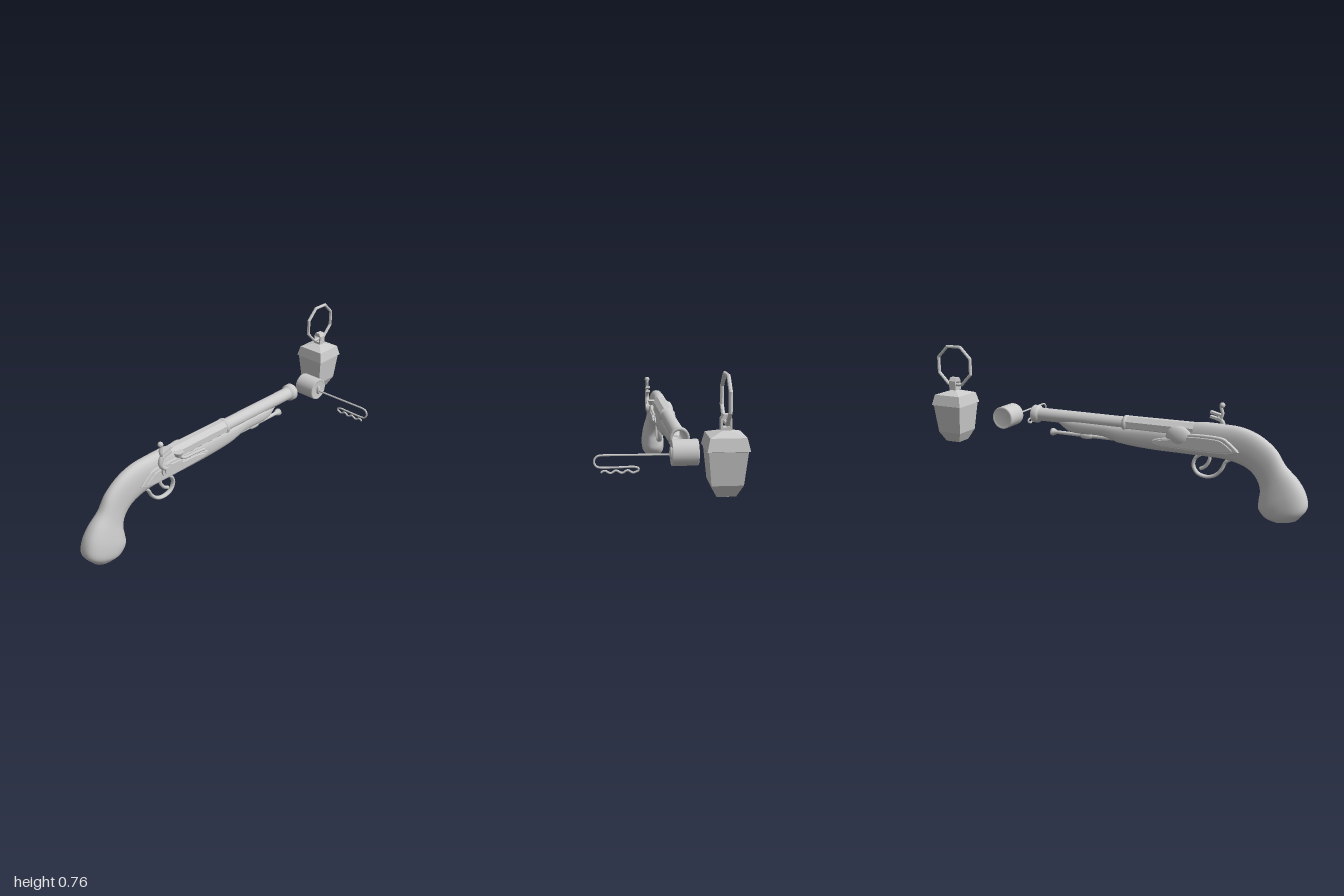
import * as THREE from 'three';

const material = new THREE.MeshStandardMaterial({ color: 0xcccccc, side: THREE.DoubleSide });
const flat = new THREE.MeshStandardMaterial({ color: 0xcccccc, flatShading: true, side: THREE.DoubleSide });

function add(parent, name, geometry, mat = material) {
  const mesh = new THREE.Mesh(geometry, mat);
  mesh.name = name;
  parent.add(mesh);
  return mesh;
}

// Smooth tube through [x, y, z] points
function tube(points, radius, closed = false, segments = 48, sides = 8) {
  const curve = new THREE.CatmullRomCurve3(points.map(p => new THREE.Vector3(...p)), closed);
  return new THREE.TubeGeometry(curve, segments, radius, sides, closed);
}

// Lathe turned to lie along z; profile is [radius, z] pairs
function latheZ(profile, sides) {
  return new THREE.LatheGeometry(profile.map(([r, z]) => new THREE.Vector2(r, z)), sides).rotateX(Math.PI / 2);
}

// Outline in the side plane ([-z, y] points), extruded towards +x
function sidePlate(points, depth, bevel) {
  const shape = new THREE.Shape();
  shape.moveTo(...points[0]);
  shape.splineThru([...points.slice(1), points[0]].map(p => new THREE.Vector2(...p)));
  return new THREE.ExtrudeGeometry(shape, {
    depth, bevelEnabled: true, bevelSize: bevel, bevelThickness: bevel, bevelSegments: 2, curveSegments: 40,
  }).rotateY(Math.PI / 2);
}

// Stock lofted through stations [topZ, topY, bottomZ, bottomY, halfWidth]
function stockGeometry() {
  const stations = [
    [-0.33, 0.385, -0.325, 0.368, 0.018], [-0.26, 0.40, -0.26, 0.33, 0.034],
    [-0.07, 0.40, -0.07, 0.325, 0.038], [0.03, 0.40, 0.03, 0.30, 0.041],
    [0.19, 0.405, 0.19, 0.287, 0.042], [0.37, 0.412, 0.37, 0.285, 0.043],
    [0.43, 0.447, 0.43, 0.284, 0.043], [0.58, 0.452, 0.57, 0.282, 0.041],
    [0.67, 0.445, 0.645, 0.27, 0.040], [0.755, 0.415, 0.71, 0.243, 0.040],
    [0.835, 0.355, 0.75, 0.20, 0.040], [0.885, 0.28, 0.768, 0.15, 0.046],
    [0.945, 0.22, 0.764, 0.10, 0.058], [0.985, 0.155, 0.765, 0.055, 0.067],
    [0.997, 0.085, 0.80, 0.018, 0.066], [0.955, 0.025, 0.845, 0.004, 0.045],
  ];
  const tops = new THREE.CatmullRomCurve3(stations.map(s => new THREE.Vector3(s[4], s[1], s[0])));
  const bottoms = new THREE.CatmullRomCurve3(stations.map(s => new THREE.Vector3(s[4], s[3], s[2])));
  const rings = 75, sides = 28, position = [], index = [];
  const soften = v => Math.sign(v) * Math.abs(v) ** 0.8;
  for (let i = -1; i <= rings + 1; i++) {
    const t = Math.min(Math.max(i / rings, 0), 1);
    const size = i < 0 || i > rings ? 0 : 1;
    const top = tops.getPoint(t), bottom = bottoms.getPoint(t);
    for (let j = 0; j < sides; j++) {
      const a = j / sides * Math.PI * 2;
      const up = 0.5 + 0.5 * size * soften(Math.sin(a));
      position.push(top.x * size * soften(Math.cos(a)),
        bottom.y + (top.y - bottom.y) * up, bottom.z + (top.z - bottom.z) * up);
    }
  }
  for (let i = 0; i < rings + 2; i++) for (let j = 0; j < sides; j++) {
    const a = i * sides + j, b = i * sides + (j + 1) % sides;
    index.push(a, b, b + sides, a, b + sides, a + sides);
  }
  const geometry = new THREE.BufferGeometry();
  geometry.setAttribute('position', new THREE.Float32BufferAttribute(position, 3));
  geometry.setIndex(index);
  geometry.computeVertexNormals();
  return geometry;
}

function createPistol() {
  const pistol = new THREE.Group();
  pistol.name = 'pistol';
  pistol.position.x = -0.09;
  add(pistol, 'stock', stockGeometry());

  // Barrel: hollow round front, ring and octagonal breech
  add(pistol, 'barrel', latheZ([[0.034, 0.07], [0.035, -0.44], [0.04, -0.448], [0.047, -0.455],
    [0.047, -0.48], [0.044, -0.485], [0.034, -0.485], [0.029, -0.46], [0.028, -0.1], [0, -0.1]].reverse(), 32)).position.y = 0.405;
  add(pistol, 'barrelRing', latheZ([[0.034, 0.045], [0.042, 0.052], [0.044, 0.06], [0.042, 0.068], [0.034, 0.075]], 32)).position.y = 0.405;
  const breech = new THREE.CylinderGeometry(0.043, 0.041, 0.37, 8).rotateY(Math.PI / 8).rotateX(Math.PI / 2);
  add(pistol, 'breech', breech, flat).position.set(0, 0.406, 0.245);

  // Ramrod under the barrel with its holders
  add(pistol, 'ramrod', latheZ([[0, -0.378], [0.02, -0.378], [0.02, -0.368], [0.01, -0.345], [0.01, 0.1], [0, 0.1]], 16)).position.y = 0.316;
  for (const z of [-0.17, 0.03]) {
    add(pistol, 'ramrodHolder', latheZ([[0.01, -0.035], [0.016, -0.025], [0.018, 0], [0.016, 0.025], [0.01, 0.035]], 16)).position.set(0, 0.316, z);
  }

  // Leaf shaped plates on both sides, each with a raised inner plate
  const leaf = [[-0.66, 0.335], [-0.62, 0.37], [-0.57, 0.393], [-0.42, 0.393], [-0.39, 0.368], [-0.30, 0.362],
    [-0.225, 0.343], [-0.26, 0.325], [-0.42, 0.318], [-0.60, 0.32]];
  const inner = leaf.map(([u, y]) => [-0.45 + (u + 0.45) * 0.88, 0.352 + (y - 0.352) * 0.75]);
  for (const side of [1, -1]) {
    const plate = add(pistol, side > 0 ? 'lockPlate' : 'sidePlate', sidePlate(leaf, 0.016, 0.005));
    plate.position.x = side > 0 ? 0.03 : -0.051;
    const raised = add(pistol, 'raisedPlate', sidePlate(inner, 0.006, 0.003));
    raised.position.x = side > 0 ? 0.05 : -0.059;
  }
  const swell = add(pistol, 'sideSwell', new THREE.SphereGeometry(1, 24, 16));
  swell.scale.set(0.03, 0.055, 0.07);
  swell.position.set(-0.037, 0.375, 0.36);

  // Flash pan beside the breech
  const pan = add(pistol, 'flashPan', new THREE.CylinderGeometry(0.026, 0.016, 0.025, 20));
  pan.position.set(0.046, 0.415, 0.42);
  add(pistol, 'panSpring', tube([[0.05, 0.41, 0.42], [0.052, 0.385, 0.395], [0.052, 0.378, 0.31], [0.05, 0.37, 0.25]], 0.008));

  // Hammer: hub, curved neck, jaws and clamp screw
  const hammer = new THREE.Group();
  hammer.name = 'hammer';
  hammer.position.x = 0.064;
  pistol.add(hammer);
  const hub = (name, r, depth, x) => add(hammer, name,
    new THREE.CylinderGeometry(r, r, depth, 24).rotateZ(Math.PI / 2)).position.set(x, 0.372, 0.51);
  hub('hammerHub', 0.034, 0.018, -0.004);
  hub('hammerScrew', 0.02, 0.01, 0.007);
  add(hammer, 'hammerNeck', tube([[0, 0.38, 0.515], [0, 0.40, 0.54], [0, 0.425, 0.553], [0, 0.45, 0.545], [0, 0.468, 0.52]], 0.012));
  add(hammer, 'hammerSpur', tube([[0, 0.455, 0.535], [0, 0.49, 0.547], [0, 0.52, 0.54], [0, 0.535, 0.548]], 0.009));
  for (const y of [0.463, 0.486]) {
    const jaw = add(hammer, 'hammerJaw', new THREE.BoxGeometry(0.024, 0.012, 0.06));
    jaw.position.set(0, y, 0.515);
    jaw.rotation.x = 0.25;
  }
  add(hammer, 'clampKnob', new THREE.SphereGeometry(0.014, 16, 12)).position.set(0, 0.531, 0.545);

  // Trigger and its guard
  const guard = add(pistol, 'triggerGuard', tube([[0, 0.285, 0.62], [0, 0.265, 0.59], [0, 0.225, 0.57], [0, 0.19, 0.535],
    [0, 0.179, 0.49], [0, 0.193, 0.445], [0, 0.23, 0.424], [0, 0.268, 0.434], [0, 0.288, 0.46]], 0.009));
  guard.scale.x = 1.5;
  add(pistol, 'trigger', tube([[0, 0.29, 0.51], [0, 0.26, 0.505], [0, 0.23, 0.485], [0, 0.215, 0.46]], 0.009));
  return pistol;
}

// Cork shaped drum with a bent wire pin
function createPin() {
  const pin = new THREE.Group();
  pin.name = 'corkAndPin';
  pin.position.z = -0.65;
  const profile = [[0, -0.056], [0.048, -0.056], [0.05, -0.06], [0.059, -0.06], [0.06, -0.056], [0.06, 0.056],
    [0.059, 0.06], [0.05, 0.06], [0.048, 0.056], [0, 0.056]];
  const drum = new THREE.LatheGeometry(profile.map(p => new THREE.Vector2(...p)), 32).rotateZ(-Math.PI / 2);
  add(pin, 'drum', drum).position.set(-0.09, 0.375, 0);
  const collar = add(pin, 'wireCollar', new THREE.SphereGeometry(1, 16, 12));
  collar.position.set(-0.032, 0.372, 0);
  collar.scale.set(0.012, 0.028, 0.012);

  const points = [[-0.035, 0.367, 0], [0.1, 0.368, 0], [0.2, 0.369, 0], [0.28, 0.369, 0]];
  for (let i = 1; i < 7; i++) {
    const a = Math.PI / 2 - i * Math.PI / 7;
    points.push([0.285 + 0.029 * Math.cos(a), 0.341 + 0.028 * Math.sin(a), 0]);
  }
  points.push([0.28, 0.313, 0], [0.2, 0.313, 0], [0.13, 0.313, 0], [0.116, 0.306, 0], [0.118, 0.296, 0]);
  for (let i = 0; i <= 14; i++) {
    points.push([0.13 + i * 0.011, 0.293 + 0.006 * Math.cos(i * Math.PI / 2.33 + 2), 0]);
  }
  add(pin, 'wire', tube(points, 0.005, false, 200, 8));
  return pin;
}

// Square lantern hanging from an eight sided ring
function createLantern() {
  const lantern = new THREE.Group();
  lantern.name = 'lantern';
  lantern.position.set(-0.23, 0, -0.89);
  const square = (name, profile) => add(lantern, name, new THREE.LatheGeometry(
    profile.map(([half, y]) => new THREE.Vector2(half * Math.SQRT2, y)), 4).rotateY(Math.PI / 4), flat);
  square('body', [[0, 0.248], [0.041, 0.248], [0.068, 0.302], [0.083, 0.448]]);
  square('roof', [[0.08, 0.446], [0.09, 0.45], [0.077, 0.505], [0.016, 0.525], [0.012, 0.532], [0, 0.532]]);
  square('foot', [[0, 0.237], [0.012, 0.24], [0.025, 0.243], [0.025, 0.25]]);

  // Eyelet with a square hole
  const outline = [[-0.024, 0.527], [0.024, 0.527], [0.024, 0.575], [0.012, 0.593], [-0.012, 0.593], [-0.024, 0.575]];
  const hole = [[-0.016, 0.54], [0.016, 0.54], [0.016, 0.572], [-0.016, 0.572]];
  const eyelet = new THREE.Shape(outline.map(p => new THREE.Vector2(...p)));
  eyelet.holes.push(new THREE.Path(hole.map(p => new THREE.Vector2(...p))));
  add(lantern, 'eyelet', new THREE.ExtrudeGeometry(eyelet, { depth: 0.04, bevelEnabled: false }).translate(0, 0, -0.02), flat);

  const ring = new THREE.TorusGeometry(0.109, 0.009, 8, 8).rotateZ(Math.PI / 8).rotateY(Math.PI / 2);
  add(lantern, 'carryingRing', ring, flat).position.set(0, 0.656, 0.003);
  return lantern;
}

export function createModel() {
  const model = new THREE.Group();
  model.name = 'pistolSet';
  model.add(createPistol(), createPin(), createLantern());
  return model;
}
